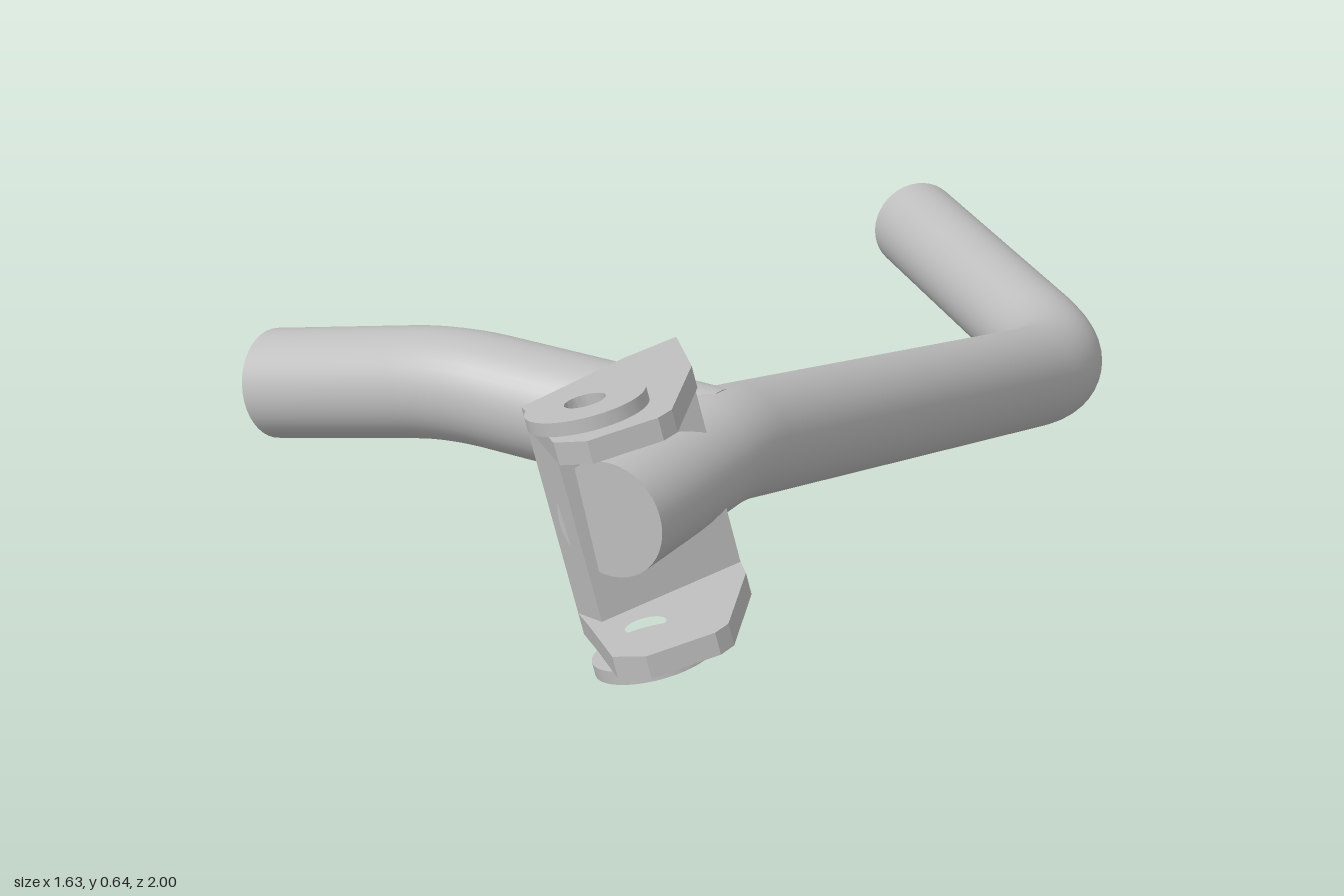
import * as THREE from 'three';
import { toCreasedNormals } from 'three/addons/utils/BufferGeometryUtils.js';

const metal = new THREE.MeshStandardMaterial({ color: 0xbebebe });
metal.name = 'grey metal';

const TUBE_RADIUS = 0.087;

// Capped round tube along straight runs; bends[i] is the tangent length at inner point i + 1
function bentTube(name, coords, bends) {
  const pts = coords.map((c) => new THREE.Vector3(...c));
  const path = new THREE.CurvePath();
  let from = pts[0];
  for (let i = 1; i < pts.length - 1; i++) {
    const toward = (p) => p.clone().sub(pts[i]).setLength(bends[i - 1]).add(pts[i]);
    const a = toward(pts[i - 1]);
    const b = toward(pts[i + 1]);
    path.add(new THREE.LineCurve3(from, a));
    path.add(new THREE.QuadraticBezierCurve3(a, pts[i], b));
    from = b;
  }
  path.add(new THREE.LineCurve3(from, pts[pts.length - 1]));

  const group = new THREE.Group();
  group.name = name;
  const body = new THREE.Mesh(new THREE.TubeGeometry(path, 120, TUBE_RADIUS, 40), metal);
  body.name = name + 'Body';
  group.add(body);
  for (const t of [0, 1]) {
    const cap = new THREE.Mesh(new THREE.CircleGeometry(TUBE_RADIUS, 40), metal);
    cap.name = name + 'EndCap';
    const outward = path.getTangentAt(t).multiplyScalar(t ? 1 : -1);
    cap.position.copy(path.getPointAt(t));
    cap.quaternion.setFromUnitVectors(new THREE.Vector3(0, 0, 1), outward);
    group.add(cap);
  }
  return group;
}

// Bracket frame: plan outlines in x, z lie on a tilted plane and extrude along its normal
const ORIGIN = new THREE.Vector3(-0.4, 0.595, 0.7);
const SLOPE_X = 0.2;
const SLOPE_Z = 0.19;
const FRAME = new THREE.Matrix4()
  .makeBasis(
    new THREE.Vector3(1, SLOPE_X, 0),
    new THREE.Vector3(0, -SLOPE_Z, -1),
    new THREE.Vector3(-SLOPE_X, 1, -SLOPE_Z).normalize()
  )
  .setPosition(ORIGIN);

const plan = (x, z) => new THREE.Vector2(x - ORIGIN.x, ORIGIN.z - z);

function tiltedPlate(name, shape, bottom, top) {
  const geo = new THREE.ExtrudeGeometry(shape, { depth: top - bottom, bevelEnabled: false, curveSegments: 32 });
  geo.translate(0, 0, bottom).applyMatrix4(FRAME);
  const mesh = new THREE.Mesh(toCreasedNormals(geo, 0.4), metal);
  mesh.name = name;
  return mesh;
}

function bracket() {
  const group = new THREE.Group();
  group.name = 'bracket';
  const HEIGHT = 0.35;
  const THICK = 0.033;
  const LIP = 0.02;
  const eye = plan(-0.487, 0.812);
  const hole = () => new THREE.Path().absarc(eye.x, eye.y, 0.029, 0, Math.PI * 2, true);

  // Web block crossed by the long tube
  const web = new THREE.Shape([
    plan(-0.283, 0.574), plan(-0.305, 0.69), plan(-0.53, 0.742), plan(-0.545, 0.675), plan(-0.37, 0.6),
  ]);
  group.add(tiltedPlate('bracketWeb', web, -HEIGHT + THICK, -THICK));

  // Two flanges with a drilled eye
  const flange = new THREE.Shape([
    plan(-0.283, 0.574), plan(-0.315, 0.743), plan(-0.4, 0.915), plan(-0.425, 0.932),
    plan(-0.525, 0.932), plan(-0.56, 0.89), plan(-0.55, 0.76), plan(-0.545, 0.675), plan(-0.37, 0.596),
  ]);
  flange.holes.push(hole());
  group.add(tiltedPlate('upperFlange', flange, -THICK, 0));
  group.add(tiltedPlate('lowerFlange', flange, -HEIGHT, -HEIGHT + THICK));

  // Raised rings around the eyes
  const ring = new THREE.Shape().absarc(eye.x, eye.y, 0.084, 0, Math.PI * 2, false);
  ring.holes.push(hole());
  group.add(tiltedPlate('upperRing', ring, 0, LIP));
  group.add(tiltedPlate('lowerRing', ring, -HEIGHT - LIP, -HEIGHT));
  return group;
}

export function createModel() {
  const model = new THREE.Group();
  model.name = 'bentTubeWithBracket';

  // Long tube, from the straight rear end to the stub through the bracket
  model.add(bentTube('longTube', [
    [0.723, 0.088, -1], [0.723, 0.088, -0.235], [-0.225, 0.426, 0.6], [-0.455, 0.427, 0.797],
  ], [0.19, 0.05]));

  // Short branch tube
  model.add(bentTube('branchTube', [
    [-0.75, 0.345, -0.025], [-0.53, 0.425, 0.243], [-0.23, 0.425, 0.605],
  ], [0.08]));

  model.add(bracket());
  return model;
}
